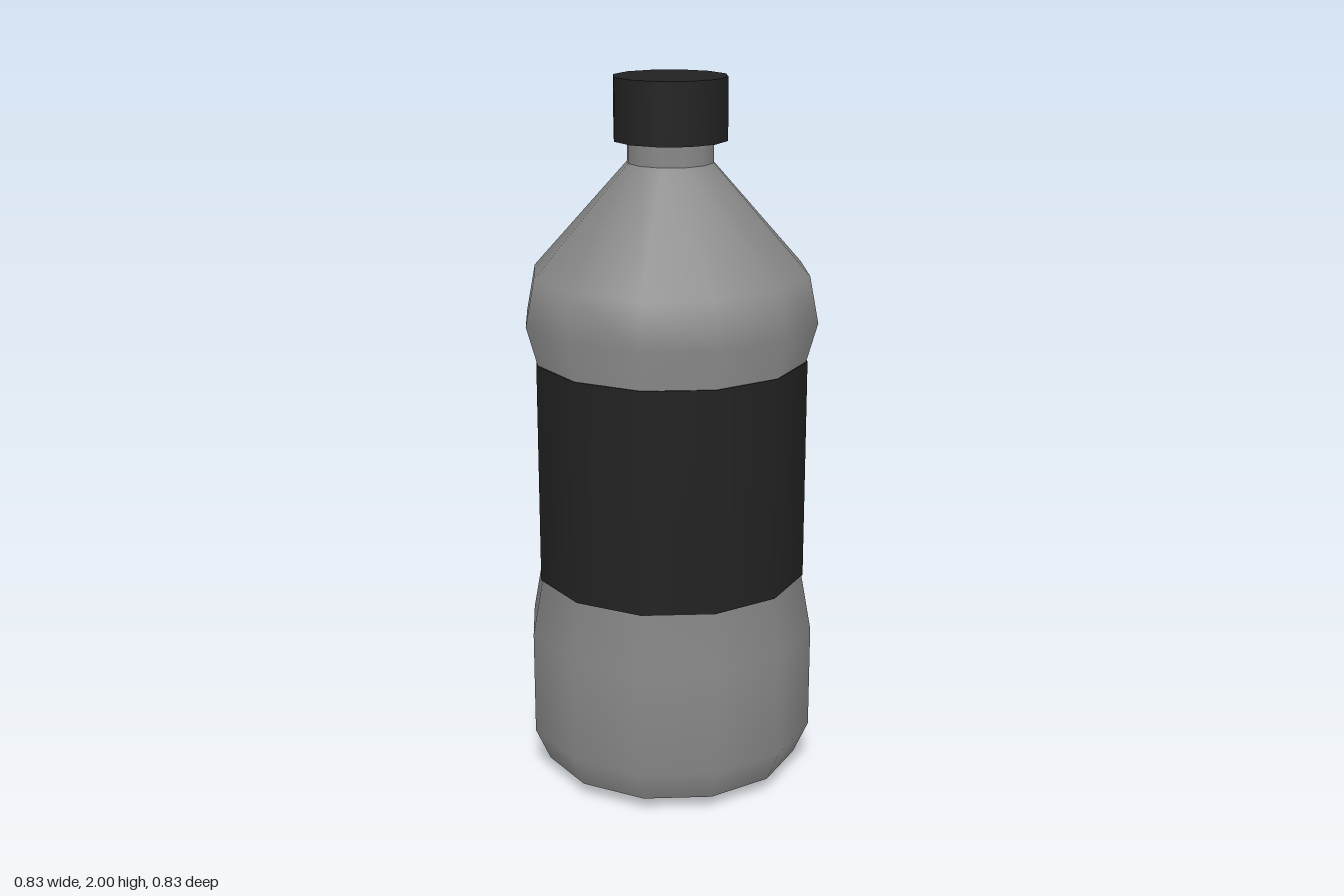
import * as THREE from 'three';

const SIDES = 12;

export function createModel() {
  const group = new THREE.Group();
  const grey = new THREE.MeshStandardMaterial({ color: 0x888888 });
  const dark = new THREE.MeshStandardMaterial({ color: 0x222222 });

  const add = (name, geometry, material, y = 0) => {
    const mesh = new THREE.Mesh(geometry, material);
    mesh.name = name;
    mesh.position.y = y;
    group.add(mesh);
  };
  // Profiles run from bottom to top as [radius, height]
  const lathe = (profile) =>
    new THREE.LatheGeometry(profile.map(([r, y]) => new THREE.Vector2(r, y)), SIDES);

  // Shallow base, separate so its rim stays sharp
  add('base', lathe([[0, 0], [0.27, 0], [0.37, 0.04]]), grey);

  // Lower body, waist behind the label, and upper bulge
  add('body', lathe([
    [0.37, 0.04], [0.412, 0.135], [0.412, 0.435], [0.382, 0.6],
    [0.382, 1.23], [0.413, 1.34], [0.388, 1.47], [0.12, 1.77],
  ]), grey);

  // Neck reaching up into the cap
  add('neck', lathe([[0.12, 1.77], [0.12, 1.9]]), grey);

  // Label wrapped round the waist
  add('label', new THREE.CylinderGeometry(0.386, 0.386, 0.63, SIDES), dark, 0.915);

  // Screw cap
  add('cap', new THREE.CylinderGeometry(0.158, 0.158, 0.17, SIDES), dark, 1.915);

  return group;
}
